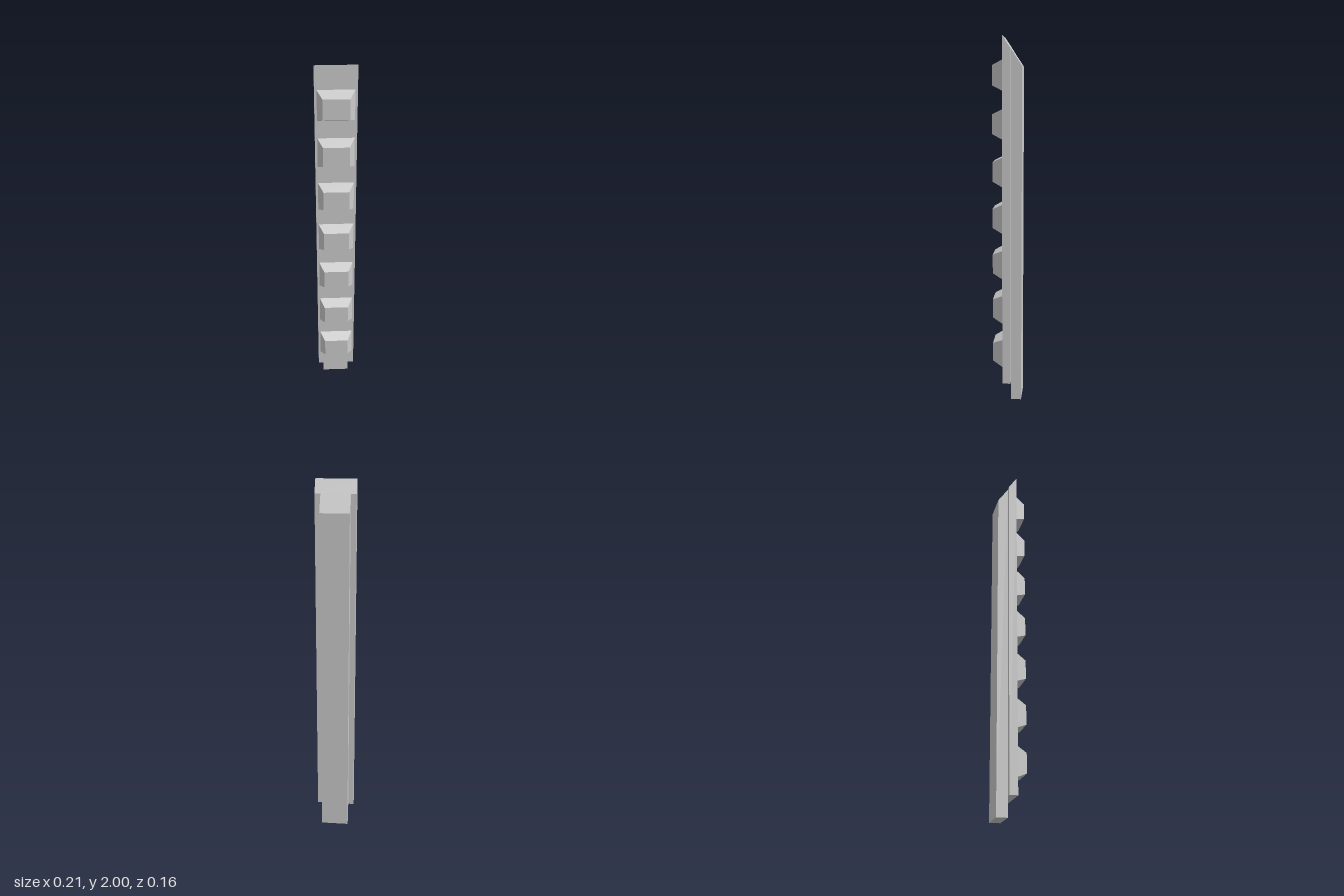
import * as THREE from 'three';

const material = new THREE.MeshStandardMaterial({ color: 0xcccccc, flatShading: true });

// Depths from front to back
const STUD_FRONT = 0.079, PLATE_FRONT = 0.023, PLATE_BACK = -0.022, RAIL_BACK = -0.08;

// Height of the bevelled top end at a given depth
const BEVEL = (2 - 1.846) / (PLATE_FRONT - RAIL_BACK);
const topAt = (z) => 2 - (PLATE_FRONT - z) * BEVEL;

// Upright bar whose top corners follow the bevel
function bar(name, width, bottom, front, back) {
  const geo = new THREE.BoxGeometry(width, 1, front - back);
  geo.translate(0, 0, (front + back) / 2);
  const p = geo.attributes.position;
  for (let i = 0; i < p.count; i++) p.setY(i, p.getY(i) > 0 ? topAt(p.getZ(i)) : bottom);
  geo.computeVertexNormals();
  const mesh = new THREE.Mesh(geo, material);
  mesh.name = name;
  return mesh;
}

// Block tapered towards the front on all four sides
function studGeometry() {
  const w = 0.188, h = 0.159, inset = 0.027;
  const geo = new THREE.BoxGeometry(w, h, STUD_FRONT - PLATE_FRONT);
  const p = geo.attributes.position;
  for (let i = 0; i < p.count; i++) {
    if (p.getZ(i) < 0) continue;
    p.setX(i, p.getX(i) - Math.sign(p.getX(i)) * inset);
    p.setY(i, p.getY(i) - Math.sign(p.getY(i)) * inset);
  }
  geo.computeVertexNormals();
  return geo;
}

export function createModel() {
  const model = new THREE.Group();
  model.name = 'studdedRail';

  // Wide front plate and the narrower, longer rail behind it
  model.add(bar('frontPlate', 0.212, 0.104, PLATE_FRONT, PLATE_BACK));
  model.add(bar('backRail', 0.152, 0, PLATE_BACK, RAIL_BACK));

  // Row of seven studs
  const studs = new THREE.Group();
  studs.name = 'studs';
  const geo = studGeometry();
  for (let i = 0; i < 7; i++) {
    const stud = new THREE.Mesh(geo, material);
    stud.name = `stud${i + 1}`;
    stud.position.set(0, 0.276 + i * 0.2537, (STUD_FRONT + PLATE_FRONT) / 2);
    studs.add(stud);
  }
  model.add(studs);
  return model;
}
